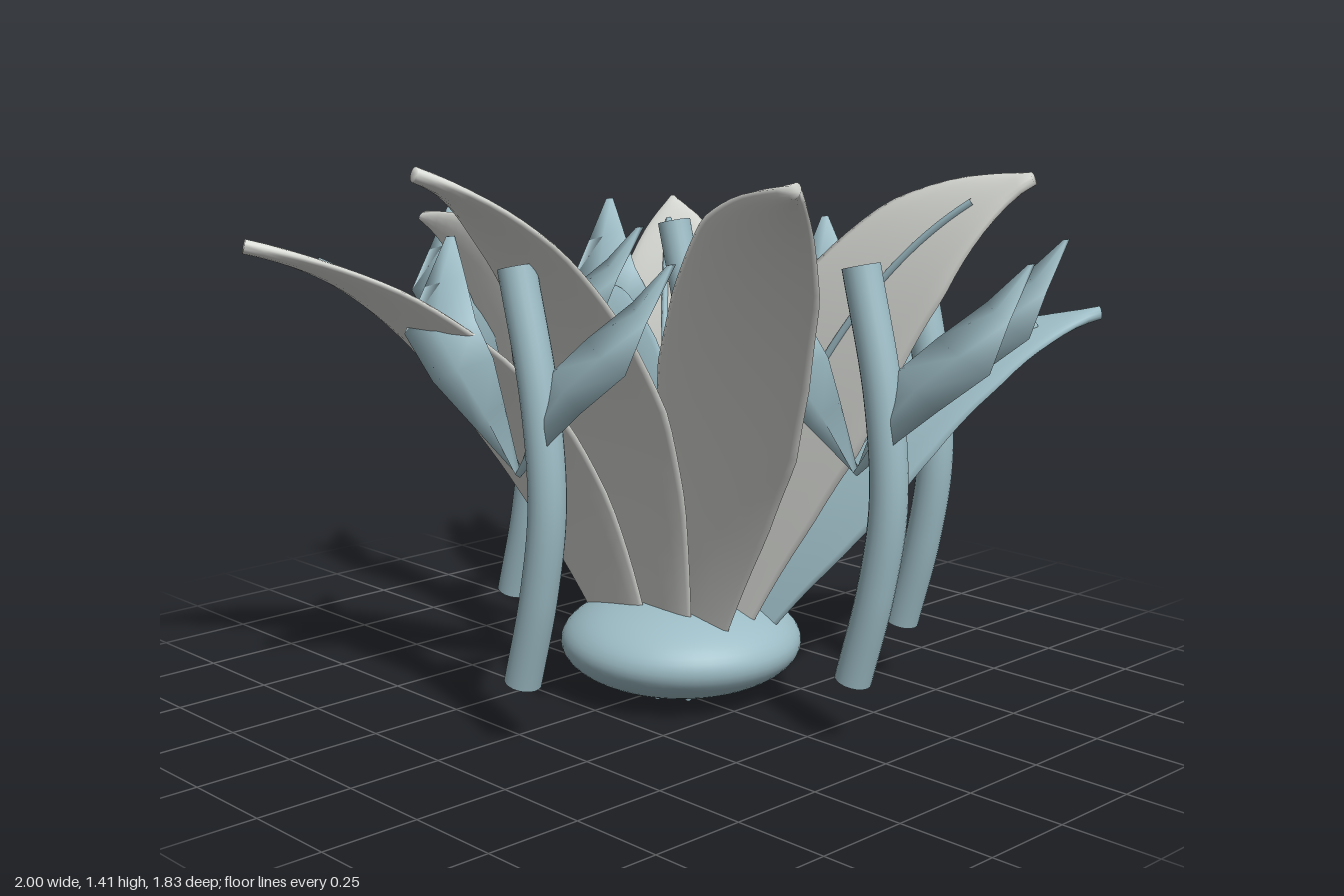
import * as THREE from 'three';

const V = (x, y, z) => new THREE.Vector3(x, y, z);

// Rows of closed cross-sections (equal length) to an indexed smooth surface
function surface(rows) {
  const m = rows[0].length, pos = [], idx = [];
  rows.forEach(r => r.forEach(p => pos.push(p.x, p.y, p.z)));
  for (let i = 0; i < rows.length - 1; i++) {
    for (let j = 0; j < m; j++) {
      const a = i * m + j, b = i * m + (j + 1) % m;
      idx.push(a, b, b + m, a, b + m, a + m);
    }
  }
  const s = (rows.length - 1) * m; // blunt tip
  for (let j = 1; j < m - 1; j++) idx.push(s, s + j, s + j + 1);
  const g = new THREE.BufferGeometry();
  g.setAttribute('position', new THREE.Float32BufferAttribute(pos, 3));
  g.setIndex(idx);
  g.computeVertexNormals();
  return g;
}

// Half width of a large leaf along its length
const WIDTH = [[0, 0.11], [0.2, 0.19], [0.35, 0.225], [0.5, 0.207], [0.7, 0.16], [0.85, 0.09], [1, 0.012]];
function halfWidth(t) {
  const i = Math.max(1, WIDTH.findIndex(([w]) => t <= w));
  const [t0, w0] = WIDTH[i - 1], [t1, w1] = WIDTH[i];
  return THREE.MathUtils.lerp(w0, w1, (t - t0) / (t1 - t0));
}

export function createModel() {
  const model = new THREE.Group();
  const blue = new THREE.MeshStandardMaterial({ color: 0x9dbcc5, side: THREE.DoubleSide });
  blue.name = 'dusty blue';
  const pale = new THREE.MeshStandardMaterial({ color: 0xdadcd7, side: THREE.DoubleSide });
  pale.name = 'pale grey';
  const add = (parent, name, geo, mat) => {
    const mesh = new THREE.Mesh(geo, mat);
    mesh.name = name;
    parent.add(mesh);
    return mesh;
  };

  // Flattened round base with a ring of little root nubs below
  const base = add(model, 'base', new THREE.SphereGeometry(1, 48, 32), blue);
  base.scale.set(0.315, 0.13, 0.315);
  base.position.set(0.01, 0.137, -0.045);
  const nub = new THREE.SphereGeometry(0.01, 8, 6);
  for (let i = 0; i < 10; i++) {
    const a = i / 10 * Math.PI * 2;
    add(model, 'rootNub', nub, blue).position.set(0.01 + 0.13 * Math.cos(a), 0.016, -0.045 + 0.13 * Math.sin(a));
  }

  // Large leaf: thin lens section swept along an arch that rises, then flares outward.
  // The blade bends about the x axis only, so it stays edge-on from the side.
  function leaf(root, tip, mat) {
    const group = new THREE.Group();
    group.name = 'largeLeaf';
    const control = V(
      THREE.MathUtils.lerp(root.x, tip.x, 0.4),
      THREE.MathUtils.lerp(root.y, tip.y, 0.85),
      THREE.MathUtils.lerp(root.z, tip.z, 0.33));
    const spine = new THREE.QuadraticBezierCurve3(root, control, tip);
    const inner = tip.z > root.z ? -1 : 1;
    const rows = [], rib = [];
    for (let i = 0; i <= 28; i++) {
      const t = i / 28, p = spine.getPoint(t), h = halfWidth(t), tangent = spine.getTangent(t);
      const across = V().crossVectors(tangent, V(0, -tangent.z, tangent.y)).normalize();
      const n = V().crossVectors(across, tangent).normalize().multiplyScalar(inner);
      const row = [];
      for (let j = 0; j < 16; j++) {
        const a = j / 16 * Math.PI * 2, u = -inner * Math.cos(a);
        const v = 0.018 * Math.sin(a) + 0.05 * h * u * u;
        row.push(p.clone().addScaledVector(across, h * u).addScaledVector(n, v));
      }
      rows.push(row);
      if (t > 0.15 && t < 0.87) rib.push(p.clone().addScaledVector(n, 0.017));
    }
    add(group, 'leafBlade', surface(rows), mat);
    add(group, 'leafMidrib', new THREE.TubeGeometry(new THREE.CatmullRomCurve3(rib), 30, 0.01, 8), blue);
    model.add(group);
  }
  leaf(V(0.03, 0.2, 0.05), V(0.085, 1.4, 0.84), pale);
  leaf(V(0.11, 0.2, 0.02), V(0.93, 1.4, 0.54), pale);
  leaf(V(-0.1, 0.2, 0.08), V(-0.5, 1.2, 0.91), pale);
  leaf(V(0.1, 0.2, -0.09), V(0.86, 1.37, -0.35), pale);
  leaf(V(0.13, 0.2, -0.15), V(0.68, 0.98, -0.91), blue);
  leaf(V(-0.04, 0.2, -0.17), V(-0.21, 0.98, -0.91), blue);
  leaf(V(-0.1, 0.2, -0.13), V(-0.79, 1.18, -0.79), pale);
  leaf(V(-0.12, 0.2, -0.01), V(-0.87, 1.19, 0.1), pale);
  leaf(V(-0.12, 0.2, -0.1), V(-0.99, 0.97, -0.48), blue);

  // Bowed stems, each with a mirrored pair of small folded leaves
  const stemPath = new THREE.CatmullRomCurve3(
    [[0, 0.165], [0.065, 0.4], [0.098, 0.62], [0.075, 0.87], [0, 1.17]].map(([x, y]) => V(x, y, 0)));
  const stemGeo = new THREE.TubeGeometry(stemPath, 32, 0.046, 20);
  const capGeo = new THREE.CircleGeometry(0.046, 20);

  // Lower and upper edges of a small leaf, from node to tip
  const lower = [[0, 0.67, 0], [0.13, 0.77, 0.025], [0.27, 0.87, 0.045], [0.4, 0.97, 0.03], [0.4, 1.08, -0.035], [0.4, 1.2, -0.11]];
  const upper = [[0, 0.69, 0], [0.06, 0.84, -0.005], [0.11, 0.94, -0.015], [0.2, 1.02, -0.035], [0.3, 1.11, -0.085], [0.39, 1.2, -0.12]];
  const sideLeaf = side => surface(lower.map((l, i) => {
    const a = V(...l), b = V(...upper[i]), n = V(0, 0, 0.014);
    const mid = a.clone().lerp(b, 0.5);
    const row = [a, mid.clone().sub(n), b, mid.clone().add(n)];
    row.forEach(p => { p.x *= side; });
    return side > 0 ? row : row.reverse();
  }));
  const leafGeos = [sideLeaf(1), sideLeaf(-1)];

  for (const [x, z] of [[0.06, 0.535], [-0.56, 0.05], [0.6, -0.05], [-0.42, -0.435], [0.37, -0.51]]) {
    const group = new THREE.Group();
    group.name = 'leafyStem';
    add(group, 'stem', stemGeo, blue);
    for (const t of [0, 1]) {
      const cap = add(group, 'stemEnd', capGeo, blue);
      cap.position.copy(stemPath.getPoint(t));
      cap.quaternion.setFromUnitVectors(V(0, 0, 1), stemPath.getTangent(t).multiplyScalar(t ? 1 : -1));
    }
    for (const g of leafGeos) add(group, 'smallLeaf', g, blue);
    group.position.set(x, 0, z);
    model.add(group);
  }
  return model;
}
